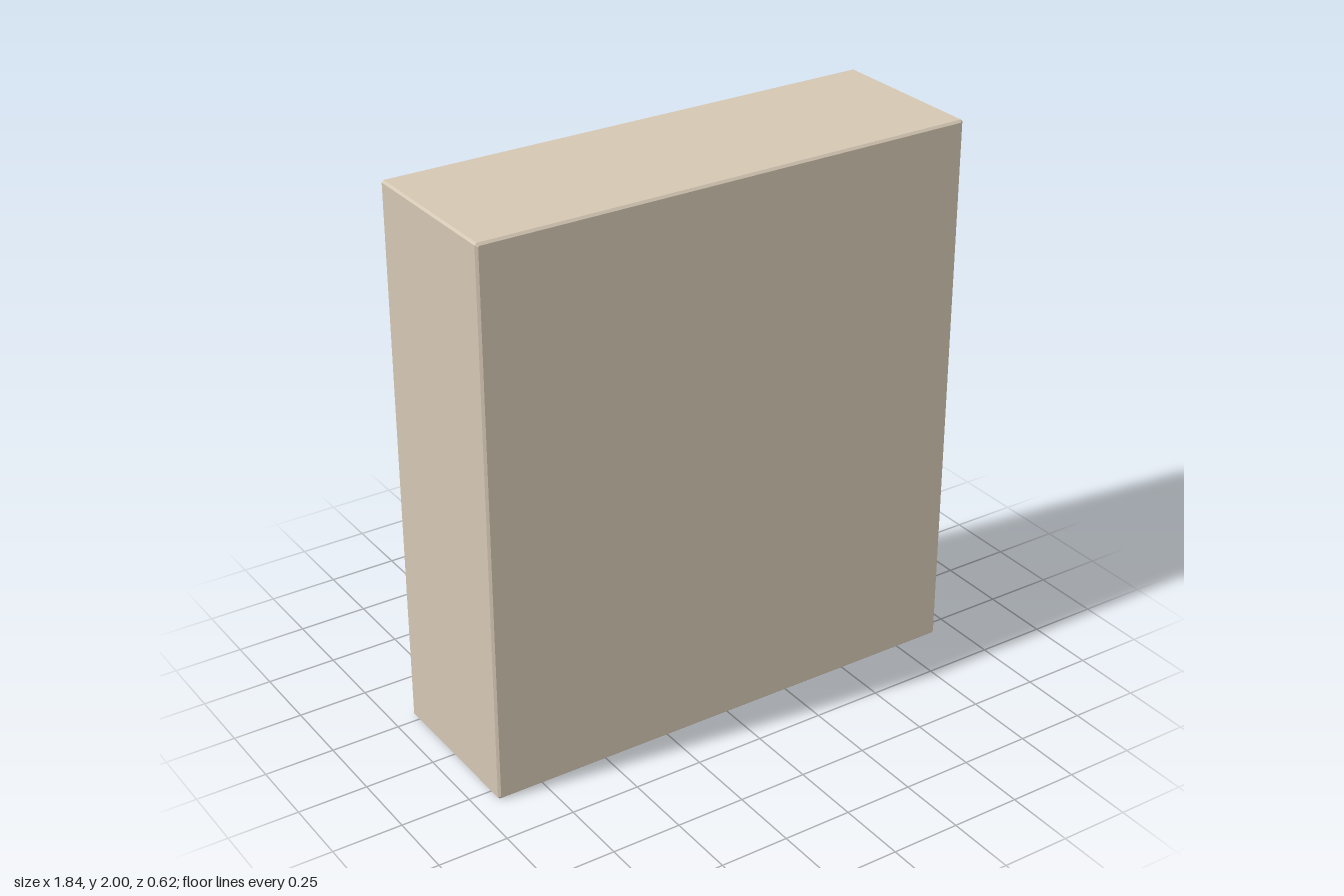
import * as THREE from 'three';
import { RoundedBoxGeometry } from 'three/addons/geometries/RoundedBoxGeometry.js';

const HALF_W = 0.92, HALF_H = 1, WALL = 0.025;
const bodyMat = new THREE.MeshStandardMaterial({ color: 0xd4c7b3 });
const handleMat = new THREE.MeshStandardMaterial({ color: 0xcfab88 });

// Rectangle in the xy plane with cut corners, inset from the cabinet outline
function ring(inset, cut, z) {
  const w = HALF_W - inset, h = HALF_H - inset;
  return [
    [w, h - cut], [w - cut, h], [cut - w, h], [-w, h - cut],
    [-w, cut - h], [cut - w, -h], [w - cut, -h], [w, cut - h],
  ].map(([x, y]) => new THREE.Vector3(x, y, z));
}

const centre = z => Array.from({ length: 8 }, () => new THREE.Vector3(0, 0, z));

// Join rings of eight points into a faceted skin
function loft(rings) {
  const points = [];
  for (let i = 0; i < rings.length - 1; i++) {
    for (let j = 0; j < 8; j++) {
      const k = (j + 1) % 8;
      const a = rings[i][j], b = rings[i][k], c = rings[i + 1][k], d = rings[i + 1][j];
      if (!a.equals(b)) points.push(a, d, b);
      if (!c.equals(d)) points.push(b, d, c);
    }
  }
  const geometry = new THREE.BufferGeometry().setFromPoints(points);
  geometry.computeVertexNormals();
  return geometry;
}

function box(name, size, position, material, radius) {
  const geometry = new RoundedBoxGeometry(...size, 1, radius);
  const mesh = new THREE.Mesh(geometry, material);
  mesh.name = name;
  mesh.position.set(...position);
  return mesh;
}

// Sliding door with its bar handle; faceZ is the outer face towards -z
function slidingDoor(name, xMin, xMax, faceZ, handleX) {
  const door = new THREE.Group();
  door.name = name;
  const thick = 0.033, height = 2 * (HALF_H - WALL);
  const panel = new THREE.Mesh(new THREE.BoxGeometry(xMax - xMin, height, thick), bodyMat);
  panel.name = name + 'Panel';
  panel.position.set((xMin + xMax) / 2, HALF_H, faceZ + thick / 2);
  door.add(panel);

  const handle = new THREE.Group();
  handle.name = name + 'Handle';
  handle.position.set(handleX, 0.855, faceZ);
  handle.add(box('handleBar', [0.024, 0.136, 0.015], [0, 0, -0.0375], handleMat, 0.002));
  for (const s of [-1, 1]) {
    handle.add(box('handlePost', [0.024, 0.02, 0.042], [0, s * 0.058, -0.02], handleMat, 0.002));
  }
  door.add(handle);
  return door;
}

export function createModel() {
  const model = new THREE.Group();
  model.name = 'slidingDoorCabinet';

  // Hollow carcass: closed at +z, open at -z
  const carcass = new THREE.Mesh(loft([
    centre(0.31),
    ring(0.008, 0.004, 0.31),
    ring(0, 0.007, 0.302),
    ring(0, 0.007, -0.282),
    ring(0.008, 0.004, -0.29),
    ring(WALL - 0.004, 0.002, -0.29),
    ring(WALL, 0.002, -0.286),
    ring(WALL, 0.002, 0.285),
    centre(0.285),
  ]), bodyMat);
  carcass.name = 'carcass';
  carcass.position.y = HALF_H;
  model.add(carcass);

  // Two overlapping doors on separate tracks
  const edge = HALF_W - WALL;
  model.add(slidingDoor('outerDoor', -edge, 0.012, -0.27, -0.83));
  model.add(slidingDoor('innerDoor', -0.02, edge, -0.235, 0.83));
  return model;
}
